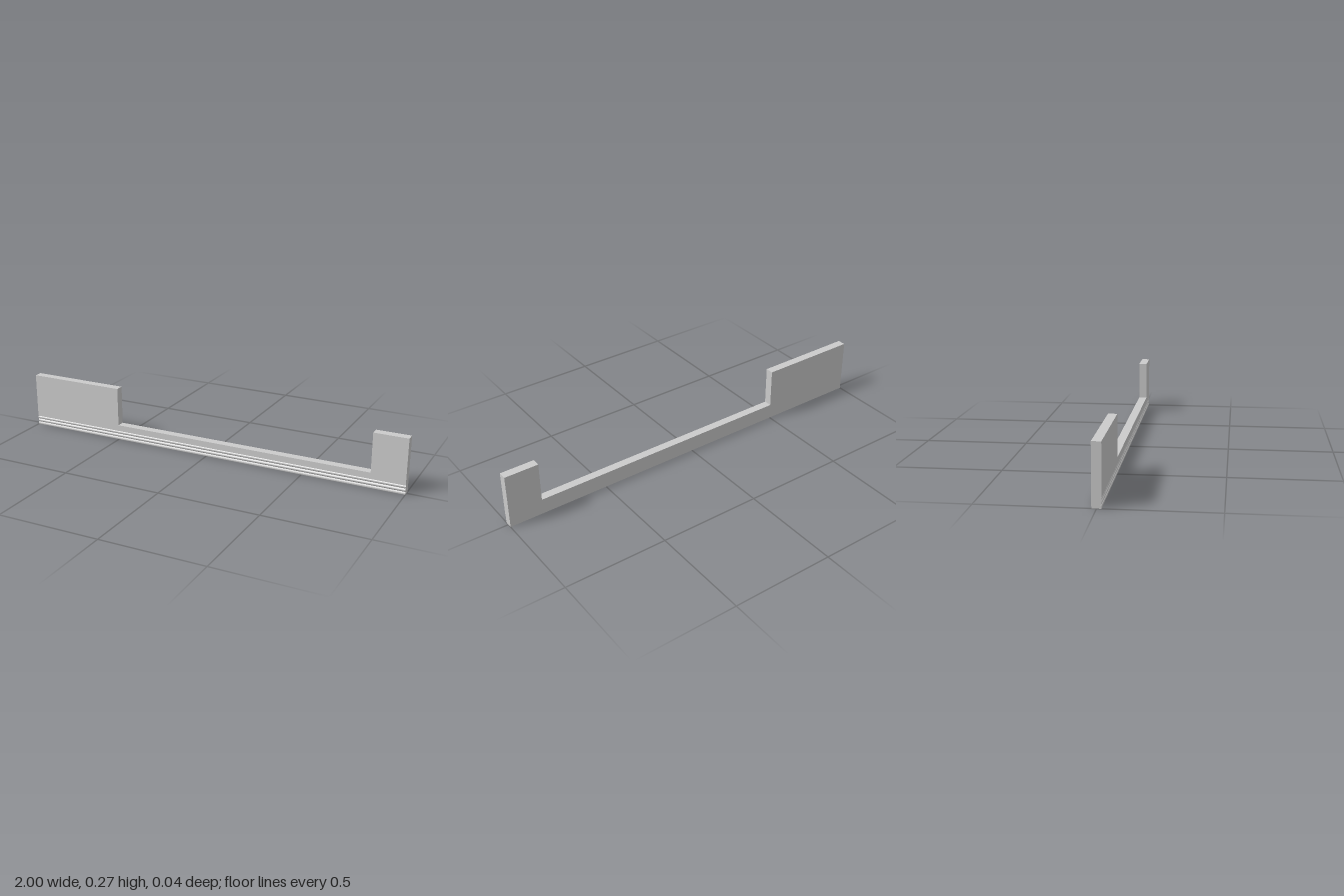
import * as THREE from 'three';
import { toCreasedNormals } from 'three/addons/utils/BufferGeometryUtils.js';

const FRONT = 0.0205, BACK = -0.0205, HEIGHT = 0.272;
const RAIL_TOP = 0.077, BEAD_TOP = 0.0458;
const BEAD_R = 0.0085, BEAD_PITCH = 0.0165;

export function createModel() {
  const group = new THREE.Group();
  const material = new THREE.MeshStandardMaterial({ color: 0xcccccc });
  const add = (name, geometry) => {
    const mesh = new THREE.Mesh(geometry, material);
    mesh.name = name;
    group.add(mesh);
  };

  // Flat board: long low rail with a wide upright block and a narrow one
  const outline = new THREE.Shape([
    [-1, BEAD_TOP], [1, BEAD_TOP], [1, HEIGHT], [0.835, HEIGHT],
    [0.835, RAIL_TOP], [-0.5, RAIL_TOP], [-0.5, HEIGHT], [-1, HEIGHT],
  ].map(([x, y]) => new THREE.Vector2(x, y)));
  const board = new THREE.ExtrudeGeometry(outline, { depth: FRONT - BACK, bevelEnabled: false });
  board.translate(0, 0, BACK);
  add('notchedBoard', board);

  // Base moulding: three rounded beads down the front, section drawn as (-z, y)
  const section = [new THREE.Vector2(-BACK, 0), new THREE.Vector2(-BACK, BEAD_TOP)];
  const halfArc = Math.asin(BEAD_PITCH / 2 / BEAD_R);
  const steps = 12;
  for (let bead = 0; bead < 3; bead++) {
    const cy = BEAD_TOP - BEAD_PITCH * (bead + 0.5);
    // the lowest bead is cut off by the flat underside
    const end = bead === 2 ? -Math.asin(cy / BEAD_R) : -halfArc;
    for (let i = bead ? 1 : 0; i <= steps; i++) {
      const a = THREE.MathUtils.lerp(halfArc, end, i / steps);
      section.push(new THREE.Vector2(
        -(FRONT - BEAD_R + BEAD_R * Math.cos(a)),
        cy + BEAD_R * Math.sin(a),
      ));
    }
  }
  const moulding = new THREE.ExtrudeGeometry(new THREE.Shape(section), { depth: 2, bevelEnabled: false });
  moulding.rotateY(Math.PI / 2).translate(-1, 0, 0);
  add('beadedBase', toCreasedNormals(moulding, 0.6));

  return group;
}
